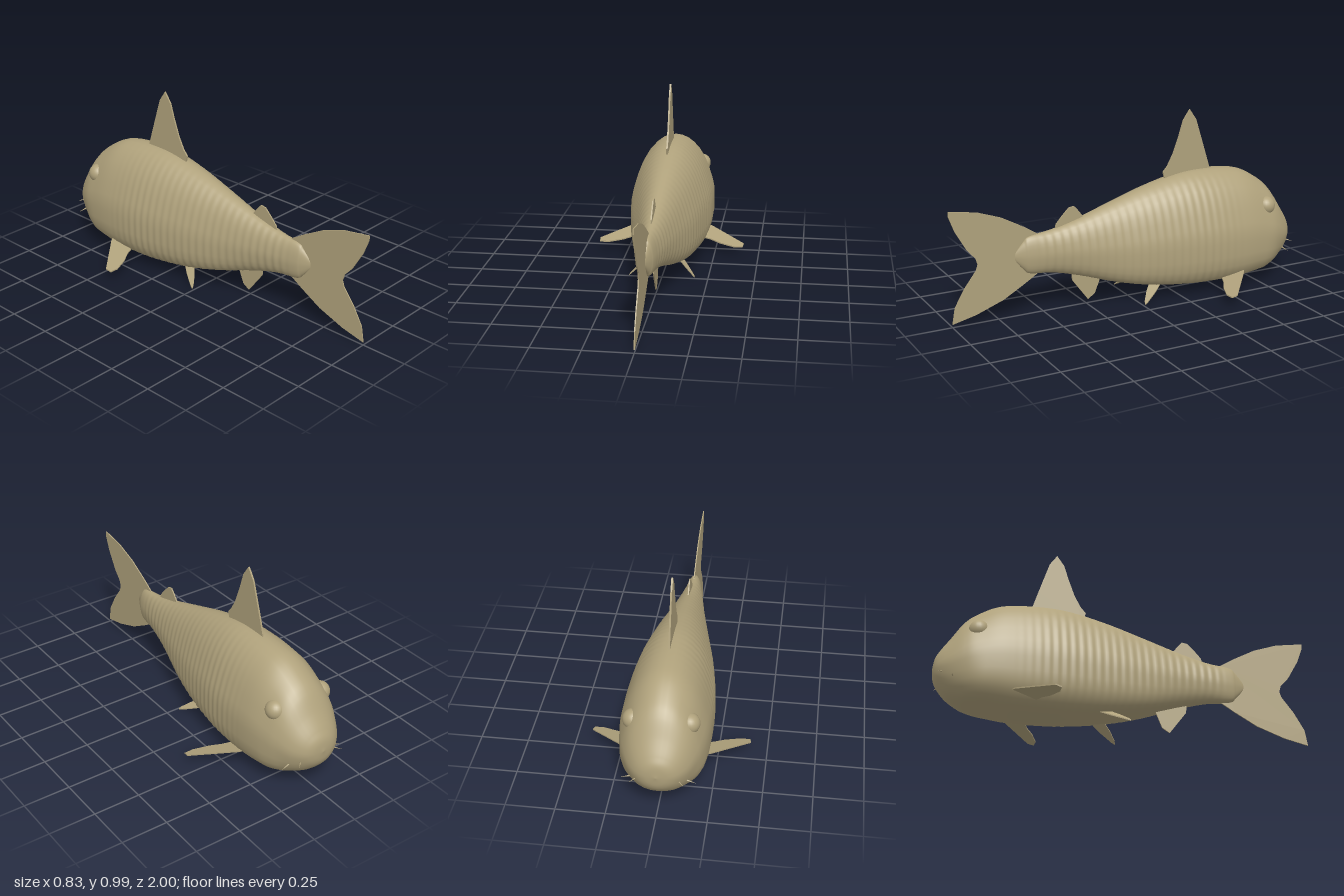
import * as THREE from 'three';

const tan = new THREE.MeshStandardMaterial({ color: 0xb0a27c });
tan.name = 'sandy tan';

// Body stations from snout (-z) to tail: z, top, bottom, half width
const STATIONS = [
  [-1, 0.25, 0.25, 0], [-0.99, 0.31, 0.19, 0.062], [-0.965, 0.355, 0.147, 0.108],
  [-0.92, 0.42, 0.105, 0.15], [-0.86, 0.51, 0.078, 0.185], [-0.8, 0.565, 0.067, 0.206],
  [-0.7, 0.622, 0.055, 0.222], [-0.6, 0.645, 0.044, 0.227], [-0.45, 0.653, 0.041, 0.224],
  [-0.3, 0.643, 0.046, 0.21], [-0.1, 0.598, 0.068, 0.178], [0.1, 0.537, 0.11, 0.135],
  [0.3, 0.473, 0.17, 0.09], [0.45, 0.436, 0.207, 0.061], [0.57, 0.42, 0.22, 0.04],
  [0.605, 0.395, 0.245, 0.028], [0.65, 0.34, 0.3, 0.005], [0.65, 0.32, 0.32, 0],
];
// Half cross-section: width fraction, height fraction (flat belly, narrow back)
const SECTION = new THREE.SplineCurve([
  [0, 0], [0.45, 0.005], [0.75, 0.035], [0.92, 0.115], [1, 0.24], [1, 0.42], [0.965, 0.52],
  [0.83, 0.69], [0.66, 0.83], [0.44, 0.93], [0.22, 0.985], [0, 1],
].map(p => new THREE.Vector2(...p)));

function bodyGeometry() {
  const heights = new THREE.CatmullRomCurve3(
    STATIONS.map(([z, t, b]) => new THREE.Vector3(z, t, b)), false, 'catmullrom');
  const widths = new THREE.CatmullRomCurve3(
    STATIONS.map(([z, , , w]) => new THREE.Vector3(z, w, 0)), false, 'catmullrom');
  const rings = 400, half = 16, around = half * 2;
  const smooth = THREE.MathUtils.smoothstep;
  const pos = [], index = [];
  for (let i = 0; i <= rings; i++) {
    const { x: z, y: top, z: bottom } = heights.getPoint(i / rings);
    const w = Math.max(0, widths.getPoint(i / rings).y);
    // Rounder sections at snout and tail
    const k = smooth(z, -1, -0.75) * (1 - 0.7 * smooth(z, 0, 0.5));
    // Faint ribs along the flanks
    const fade = smooth(z, -0.65, -0.35) * (1 - smooth(z, 0.45, 0.57));
    const rib = 0.0022 * fade * Math.sin(z * Math.PI * 2 / 0.045);
    for (let j = 0; j < around; j++) {
      const up = j <= half;
      const p = SECTION.getPoint((up ? j : around - j) / half);
      const t = THREE.MathUtils.clamp(p.y, 0, 1);
      const round = 2 * Math.sqrt(t * (1 - t));
      const f = THREE.MathUtils.lerp(round, p.x, k);
      pos.push((up ? 1 : -1) * f * (w + rib), bottom + t * (top - bottom), z);
    }
  }
  for (let i = 0; i < rings; i++) {
    for (let j = 0; j < around; j++) {
      const n = (j + 1) % around;
      const a = i * around + j, b = i * around + n;
      index.push(a, b, b + around, a, b + around, a + around);
    }
  }
  const g = new THREE.BufferGeometry();
  g.setAttribute('position', new THREE.Float32BufferAttribute(pos, 3));
  g.setIndex(index);
  g.computeVertexNormals();
  return g;
}

// Thin plate from a 2D outline; place(u, v, n) maps it into space
function plate(outline, thickness, place) {
  const shape = new THREE.Shape(outline.map(p => new THREE.Vector2(...p)));
  const g = new THREE.ExtrudeGeometry(shape, { depth: thickness, bevelEnabled: false });
  const p = g.attributes.position;
  for (let i = 0; i < p.count; i++) {
    p.setXYZ(i, ...place(p.getX(i), p.getY(i), p.getZ(i) - thickness / 2));
  }
  g.computeVertexNormals();
  return g;
}

export function createModel() {
  const model = new THREE.Group();
  model.name = 'fish';
  const add = (name, geometry) => {
    const m = new THREE.Mesh(geometry, tan);
    m.name = name;
    model.add(m);
    return m;
  };

  add('body', bodyGeometry());

  // Upright fins as (z, y) outlines on the centre plane
  const upright = (u, v, n) => [-n, v, u];
  add('dorsalFin', plate([
    [-0.5, 0.6], [-0.505, 0.65], [-0.47, 0.76], [-0.415, 0.93], [-0.375, 0.987], [-0.335, 0.93],
    [-0.31, 0.85], [-0.275, 0.755], [-0.24, 0.69], [-0.213, 0.66], [-0.23, 0.6],
  ].reverse(), 0.009, upright));
  add('rearDorsalFin', plate([
    [0.24, 0.44], [0.265, 0.485], [0.3, 0.53], [0.315, 0.545], [0.345, 0.54], [0.385, 0.5],
    [0.42, 0.46], [0.425, 0.43], [0.4, 0.4],
  ].reverse(), 0.007, upright));
  add('analFin', plate([
    [0.16, 0.18], [0.165, 0.13], [0.2, 0.045], [0.24, 0.02], [0.27, 0.06], [0.33, 0.14],
    [0.335, 0.21],
  ], 0.007, upright));
  add('tailFin', plate([
    [0.5, 0.3], [0.5, 0.23], [0.6, 0.168], [0.72, 0.1], [0.87, 0.045], [1, 0.015], [0.985, 0.1],
    [0.93, 0.195], [0.865, 0.28], [0.855, 0.31], [0.865, 0.345], [0.91, 0.395], [0.97, 0.5],
    [1, 0.58], [1, 0.608], [0.85, 0.585], [0.72, 0.54], [0.6, 0.475], [0.52, 0.425], [0.5, 0.4],
  ], 0.006, upright));

  // Paired parts; side +1 is the +x side
  for (const s of [1, -1]) {
    const label = s > 0 ? 'left' : 'right';
    // Outlines are (x, z); reversed on one side to keep faces outward
    const paired = (name, points, thickness, height) => {
      const outline = points.map(([x, z]) => [s * x, z]);
      add(label + name, plate(outline, thickness, (x, z, n) => [x, height(s * x, z) - n, z]));
    };
    paired('PectoralFin', [
      [0.15, -0.64], [0.22, -0.605], [0.415, -0.437], [0.41, -0.405], [0.36, -0.404],
      [0.28, -0.435], [0.225, -0.47], [0.15, -0.5],
    ], 0.007, (x, z) => 0.1 - 0.26 * (z + 0.605));
    paired('PelvicFin', [
      [0.08, -0.17], [0.13, -0.1], [0.172, -0.03], [0.18, -0.01], [0.165, -0.015],
      [0.12, -0.05], [0.08, -0.09],
    ], 0.006, x => 0.078 - 0.76 * (x - 0.08));

    // Bulging eye
    const eye = add(label + 'Eye', new THREE.SphereGeometry(0.052, 24, 16));
    eye.position.set(s * 0.138, 0.433, -0.788);

    // Short whiskers at the mouth
    [[0.095, 0.205, -0.945, 0.136, 0.195, -0.982], [0.135, 0.175, -0.905, 0.187, 0.165, -0.913]]
      .forEach(([x0, y0, z0, x1, y1, z1], i) => {
        const from = new THREE.Vector3(s * x0, y0, z0), to = new THREE.Vector3(s * x1, y1, z1);
        const dir = to.clone().sub(from);
        const w = add(label + 'Whisker' + (i + 1), new THREE.ConeGeometry(0.005, dir.length(), 6));
        w.position.copy(from).add(to).multiplyScalar(0.5);
        w.quaternion.setFromUnitVectors(new THREE.Vector3(0, 1, 0), dir.normalize());
      });
  }
  return model;
}
